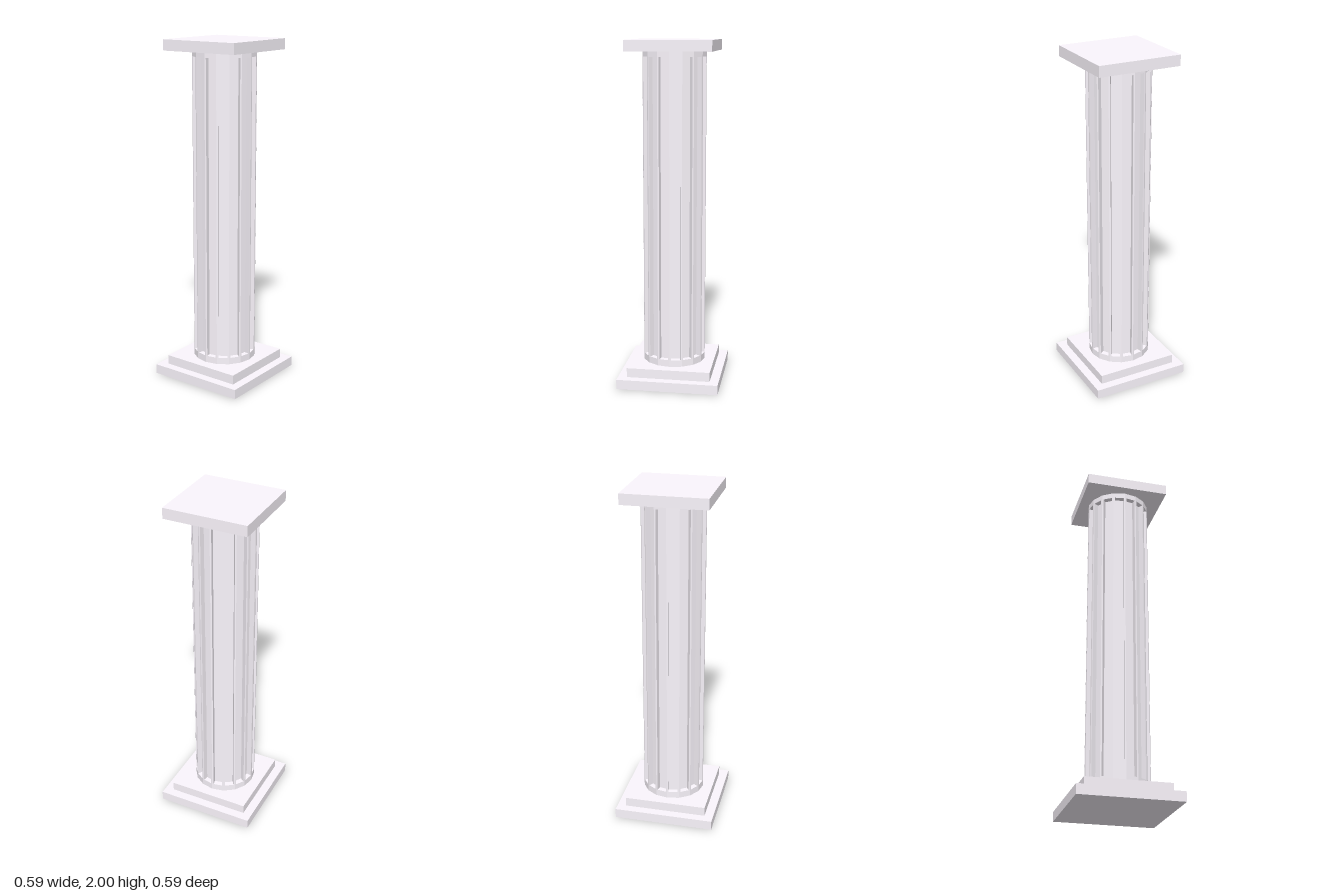
import * as THREE from 'three';

const SIDES = 16, RADIUS = 0.185, DEPTH = 0.031, PANEL_HALF = 0.0272;

export function createModel() {
  const group = new THREE.Group();
  const material = new THREE.MeshStandardMaterial({ color: 0xfbf6fd, flatShading: true });

  const add = (name, geometry, y) => {
    const mesh = new THREE.Mesh(geometry, material);
    mesh.name = name;
    mesh.position.y = y;
    group.add(mesh);
  };
  const slab = (name, size, y0, y1) =>
    add(name, new THREE.BoxGeometry(size, y1 - y0, size), (y0 + y1) / 2);
  const ring = (name, y0, y1) =>
    add(name, new THREE.CylinderGeometry(RADIUS, RADIUS, y1 - y0, SIDES), (y0 + y1) / 2);

  // Square plinth steps and top slab
  slab('lowerPlinth', 0.592, 0, 0.057);
  slab('upperPlinth', 0.488, 0.057, 0.112);
  slab('topSlab', 0.488, 1.938, 2);

  // Plain bands that close the flutes at each end
  ring('lowerBand', 0.112, 0.152);
  ring('upperBand', 1.906, 1.938);

  // Fluted shaft: a polygon with a straight-walled notch in every side
  const apothem = RADIUS * Math.cos(Math.PI / SIDES);
  const points = [];
  for (let i = 0; i < SIDES; i++) {
    const corner = (i / SIDES) * Math.PI * 2;
    const mid = corner + Math.PI / SIDES;
    const at = (r, t) => new THREE.Vector2(
      r * Math.cos(mid) - t * Math.sin(mid), r * Math.sin(mid) + t * Math.cos(mid));
    points.push(
      new THREE.Vector2(RADIUS * Math.cos(corner), RADIUS * Math.sin(corner)),
      at(apothem, -PANEL_HALF), at(apothem - DEPTH, -PANEL_HALF),
      at(apothem - DEPTH, PANEL_HALF), at(apothem, PANEL_HALF));
  }
  const shaft = new THREE.ExtrudeGeometry(new THREE.Shape(points), { depth: 1.754, bevelEnabled: false });
  shaft.rotateX(-Math.PI / 2);
  add('flutedShaft', shaft, 0.152);

  return group;
}
